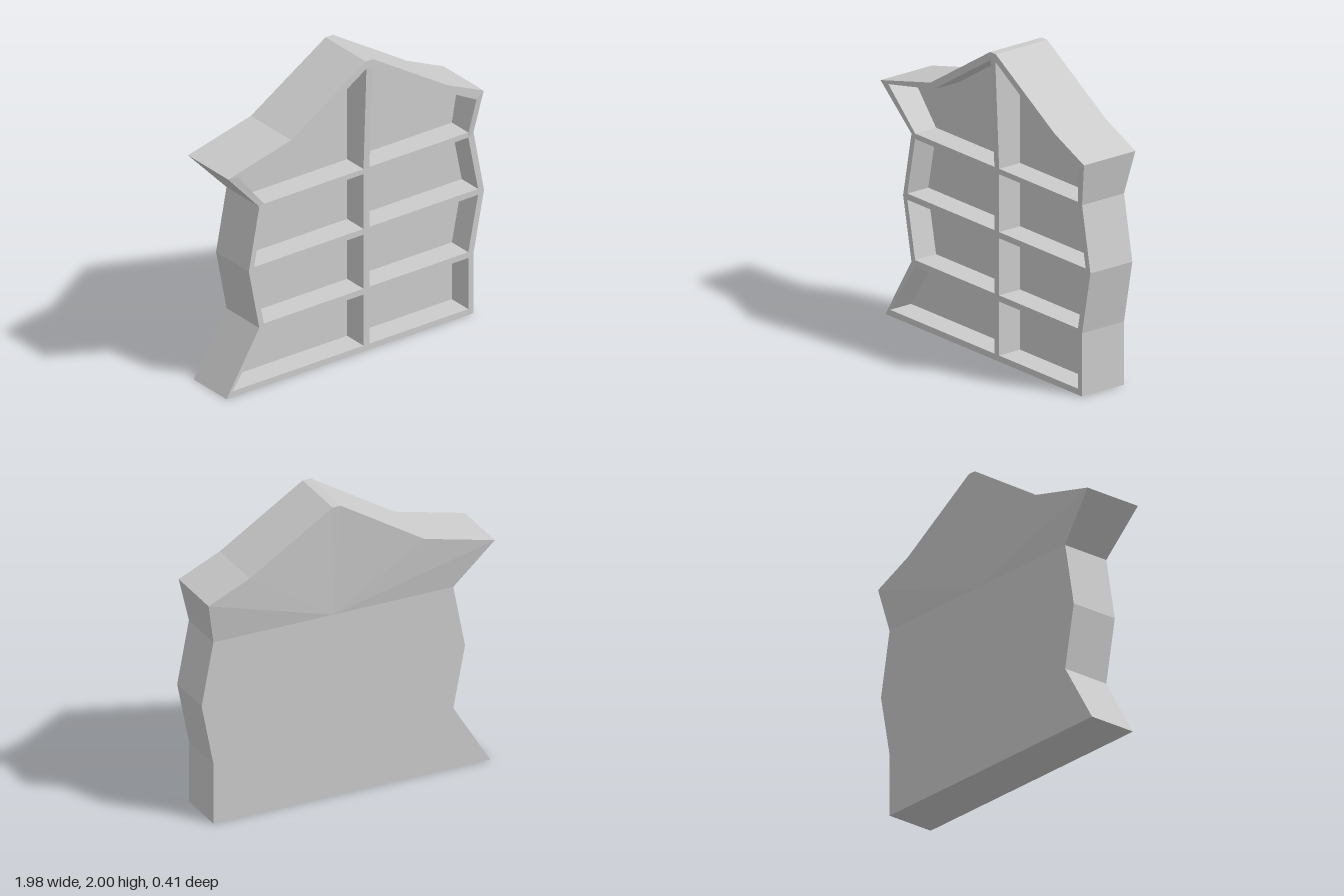
import * as THREE from 'three';

const FLOOR = 0.01, FLARE_Y = 1.3;
// The top of the body flares out in depth, front and back
const frontZ = (y) => (y > FLARE_Y ? 0.205 : 0.175);
const backZ = (y) => (y > FLARE_Y ? -0.2 : -0.155);
const floorZ = () => FLOOR;

const material = new THREE.MeshStandardMaterial({ color: 0xcccccc, flatShading: true });
const vec = (pts) => pts.map(([x, y]) => new THREE.Vector2(x, y));

function addMesh(parent, name, geometry) {
  geometry.computeVertexNormals();
  const mesh = new THREE.Mesh(geometry, material);
  mesh.name = name;
  parent.add(mesh);
}

// Filled outline with its depth set by a rule; flip makes it face backward
function panel(pts, zRule, holes = [], flip = false) {
  const shape = new THREE.Shape(vec(pts));
  shape.holes = holes.map((h) => new THREE.Path(vec(h)));
  const g = new THREE.ShapeGeometry(shape);
  const p = g.attributes.position;
  for (let i = 0; i < p.count; i++) p.setZ(i, zRule(p.getY(i)));
  if (flip) g.index.array.reverse();
  return g.toNonIndexed();
}

// Band of quads around a closed outline, facing outward when counterclockwise
function walls(pts, z0, z1) {
  const pos = [];
  pts.forEach((a, i) => {
    const b = pts[(i + 1) % pts.length];
    const q = [[...a, z0(a[1])], [...b, z0(b[1])], [...b, z1(b[1])], [...a, z1(a[1])]];
    for (const k of [0, 1, 2, 0, 2, 3]) pos.push(...q[k]);
  });
  const g = new THREE.BufferGeometry();
  g.setAttribute('position', new THREE.Float32BufferAttribute(pos, 3));
  return g;
}

export function createModel() {
  const group = new THREE.Group();
  group.name = 'compartmentCabinet';

  const outline = [
    [-0.98, 0], [0.905, 0], [0.905, 0.41], [0.985, 0.82], [0.905, 1.24],
    [0.96, 1.52], [0.68, 1.645], [0.115, 2], [0.06, 2], [-0.51, 1.64],
    [-0.99, 1.52], [-0.73, 1.24], [-0.81, 0.82], [-0.73, 0.41],
  ];

  // Lower compartments: y bottom, y top, then outer x at bottom and top of each side
  const L = 0.065, R = 0.11;
  const rows = [
    [0.04, 0.39, -0.935, -0.695, 0.865, 0.865],
    [0.43, 0.8, -0.695, -0.77, 0.865, 0.94],
    [0.84, 1.215, -0.77, -0.695, 0.94, 0.865],
  ];
  const pockets = [];
  for (const [y0, y1, l0, l1, r0, r1] of rows) {
    pockets.push([[l0, y0], [L, y0], [L, y1], [l1, y1]]);
    pockets.push([[R, y0], [r0, y0], [r1, y1], [R, y1]]);
  }
  // Gable compartments
  pockets.push([[-0.695, 1.25], [L, 1.25], [L, 1.95], [-0.48, 1.605], [-0.915, 1.515]]);
  pockets.push([[R, 1.25], [0.865, 1.25], [0.905, 1.475], [0.66, 1.605], [R, 1.95]]);

  // Frame: front rim with dividers, and the outer sides
  addMesh(group, 'frontFrame', panel(outline, frontZ, pockets));
  addMesh(group, 'outerSides', walls(outline, backZ, frontZ));

  // Recessed compartments
  pockets.forEach((p, i) => {
    const pocket = new THREE.Group();
    pocket.name = `compartment${i + 1}`;
    addMesh(pocket, 'compartmentBack', panel(p, floorZ));
    addMesh(pocket, 'compartmentWalls', walls([...p].reverse(), floorZ, frontZ));
    group.add(pocket);
  });

  // Back: flat lower panel, then two flared halves meeting on the divider line
  const mid = [0.09, 1.24], peak = [0.09, 2];
  const lower = [...outline.slice(0, 5), mid, ...outline.slice(11)];
  const right = [mid, ...outline.slice(4, 8), peak];
  const left = [mid, peak, ...outline.slice(8, 12)];
  addMesh(group, 'lowerBack', panel(lower, backZ, [], true));
  addMesh(group, 'upperBackLeft', panel(right, backZ, [], true));
  addMesh(group, 'upperBackRight', panel(left, backZ, [], true));

  return group;
}
